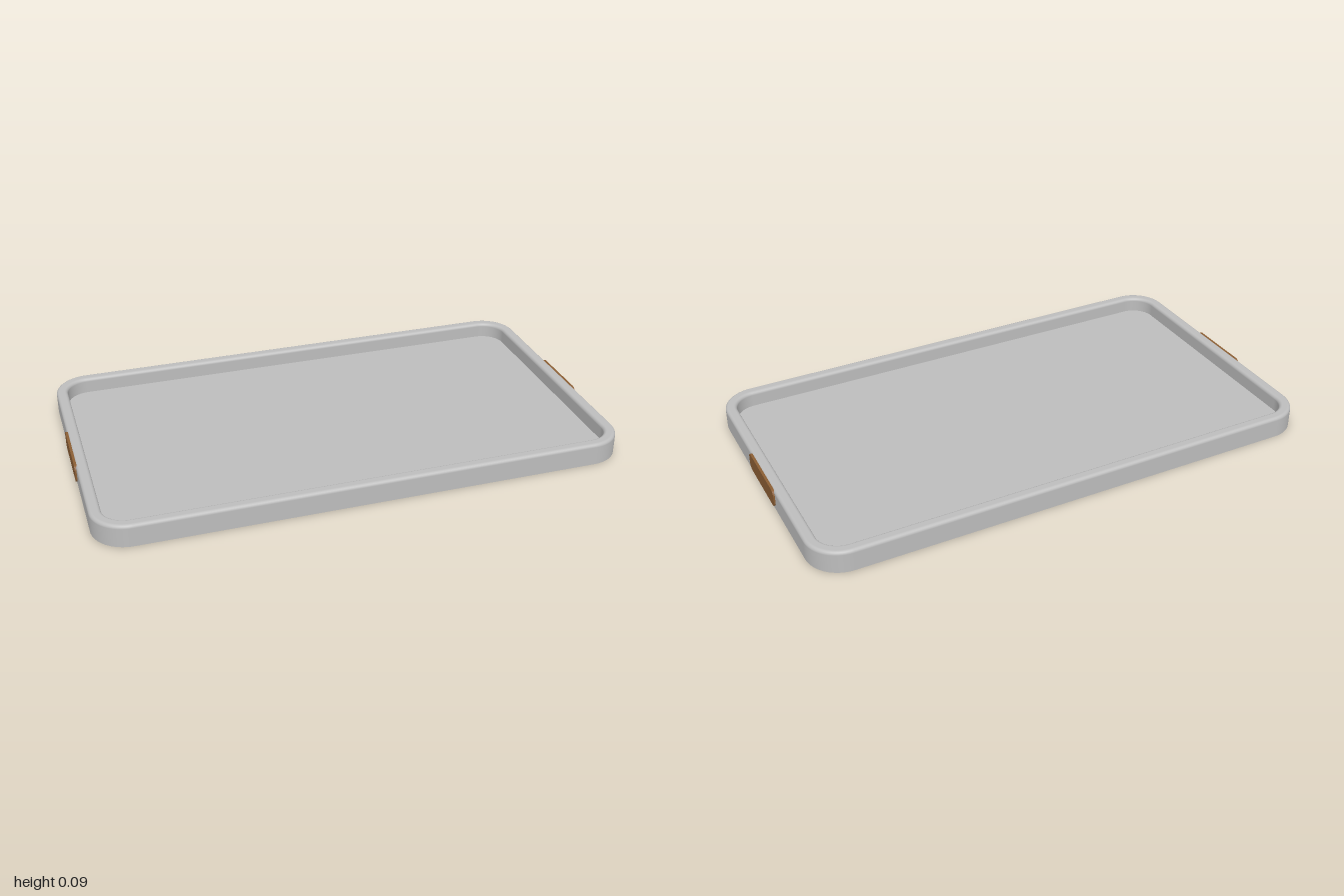
import * as THREE from 'three';

const HX = 0.994, HZ = 0.571, R = 0.13, HEIGHT = 0.085; // outer half sizes, corner radius, height
const RIM = 0.044, FLOOR_Y = 0.025, BEVEL = 0.013;

// Rounded rectangle centred on the origin
function roundedRect(hw, hh, r) {
  const s = new THREE.Shape();
  s.absarc(hw - r, hh - r, r, 0, Math.PI / 2);
  s.absarc(r - hw, hh - r, r, Math.PI / 2, Math.PI);
  s.absarc(r - hw, r - hh, r, Math.PI, Math.PI * 1.5);
  s.absarc(hw - r, r - hh, r, Math.PI * 1.5, Math.PI * 2);
  s.closePath();
  return s;
}

// Rim cross-section: [inset, y, outward normal, upward normal], running up, over and down inside
function rimProfile() {
  const rows = [[0, 0, 1, 0]];
  const steps = 6;
  for (let i = 0; i <= steps; i++) {
    const a = (i / steps) * Math.PI / 2, c = Math.cos(a), s = Math.sin(a);
    rows.push([BEVEL * (1 - c), HEIGHT - BEVEL * (1 - s), c, s]);
  }
  for (let i = 0; i <= steps; i++) {
    const a = (i / steps) * Math.PI / 2, c = Math.cos(a), s = Math.sin(a);
    rows.push([RIM - BEVEL * (1 - s), HEIGHT - BEVEL * (1 - c), -s, c]);
  }
  rows.push([RIM, FLOOR_Y, -1, 0]);
  return rows;
}

// Sweep the rim section around the rounded rectangle
function rimGeometry() {
  const pos = [], nor = [], idx = [];
  const rows = rimProfile(), arc = 16, n = 4 * (arc + 1);
  for (const [inset, y, out, up] of rows) {
    for (let q = 0; q < 4; q++) {
      const cx = (q === 0 || q === 3 ? 1 : -1) * (HX - R);
      const cz = (q < 2 ? 1 : -1) * (HZ - R);
      for (let i = 0; i <= arc; i++) {
        const a = (q + i / arc) * Math.PI / 2, c = Math.cos(a), s = Math.sin(a);
        pos.push(cx + c * (R - inset), y, cz + s * (R - inset));
        nor.push(c * out, up, s * out);
      }
    }
  }
  for (let j = 0; j < rows.length - 1; j++) {
    for (let i = 0; i < n; i++) {
      const a = j * n + i, b = j * n + (i + 1) % n;
      idx.push(a, a + n, b, b, a + n, b + n);
    }
  }
  const g = new THREE.BufferGeometry();
  g.setAttribute('position', new THREE.Float32BufferAttribute(pos, 3));
  g.setAttribute('normal', new THREE.Float32BufferAttribute(nor, 3));
  g.setIndex(idx);
  return g;
}

export function createModel() {
  const group = new THREE.Group();
  group.name = 'tray';
  const grey = new THREE.MeshStandardMaterial({ color: 0xbdbdbd });
  grey.name = 'light grey';
  const brown = new THREE.MeshStandardMaterial({ color: 0x8b5e34 });
  brown.name = 'wood brown';

  const add = (name, geometry, material) => {
    const m = new THREE.Mesh(geometry, material);
    m.name = name;
    group.add(m);
    return m;
  };

  // Raised rim with rounded top edges
  add('rim', rimGeometry(), grey);

  // Sunken floor and underside
  const floor = new THREE.ShapeGeometry(roundedRect(HX - RIM, HZ - RIM, R - RIM), 16);
  add('floor', floor.rotateX(-Math.PI / 2).translate(0, FLOOR_Y, 0), grey);
  const base = new THREE.ShapeGeometry(roundedRect(HX, HZ, R), 16);
  add('underside', base.rotateX(Math.PI / 2), grey);

  // Handle pads set into both short sides
  for (const side of [1, -1]) {
    const pad = new THREE.ExtrudeGeometry(roundedRect(0.14, 0.034, 0.02), {
      depth: 0.016, bevelEnabled: false, curveSegments: 8,
    });
    pad.translate(0, 0, -0.016).rotateY(side * Math.PI / 2).translate(side, 0.047, 0);
    add(side > 0 ? 'leftHandle' : 'rightHandle', pad, brown);
  }
  return group;
}
